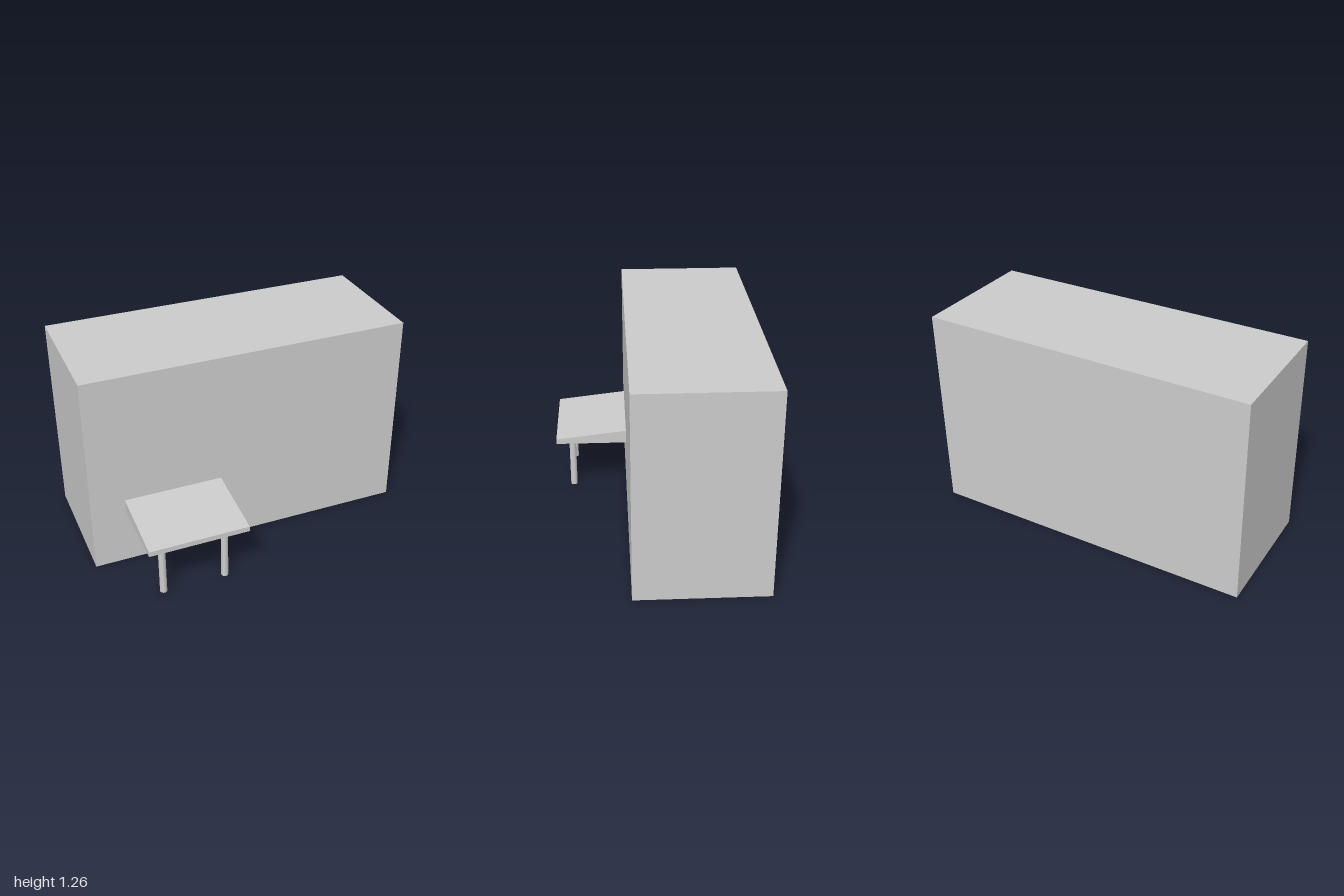
import * as THREE from 'three';

export function createModel() {
  const group = new THREE.Group();
  const material = new THREE.MeshStandardMaterial({ color: 0xcccccc });

  const add = (name, geometry, x, y, z) => {
    const mesh = new THREE.Mesh(geometry, material);
    mesh.name = name;
    mesh.position.set(x, y, z);
    group.add(mesh);
    return mesh;
  };

  // Main block, raised slightly above the post feet
  const front = 0.168, back = -0.615, bottom = 0.007, top = 1.26;
  add('buildingBlock', new THREE.BoxGeometry(2, top - bottom, front - back),
    0, (top + bottom) / 2, (front + back) / 2);

  // Sloped porch roof: side profile (z, y) extruded across its width
  const profile = new THREE.Shape([
    [front, 0.36], [0.615, 0.36], [0.615, 0.392], [front, 0.444],
  ].map(([z, y]) => new THREE.Vector2(z, y)));
  const roof = add('porchRoof',
    new THREE.ExtrudeGeometry(profile, { depth: 0.605, bevelEnabled: false }), -0.187, 0, 0);
  roof.rotation.y = -Math.PI / 2;

  // Round porch posts
  const postGeometry = new THREE.CylinderGeometry(0.0215, 0.0215, 0.36, 32);
  for (const [name, x] of [['rightPost', -0.69], ['leftPost', -0.305]]) {
    add(name, postGeometry, x, 0.18, 0.516);
  }

  return group;
}
